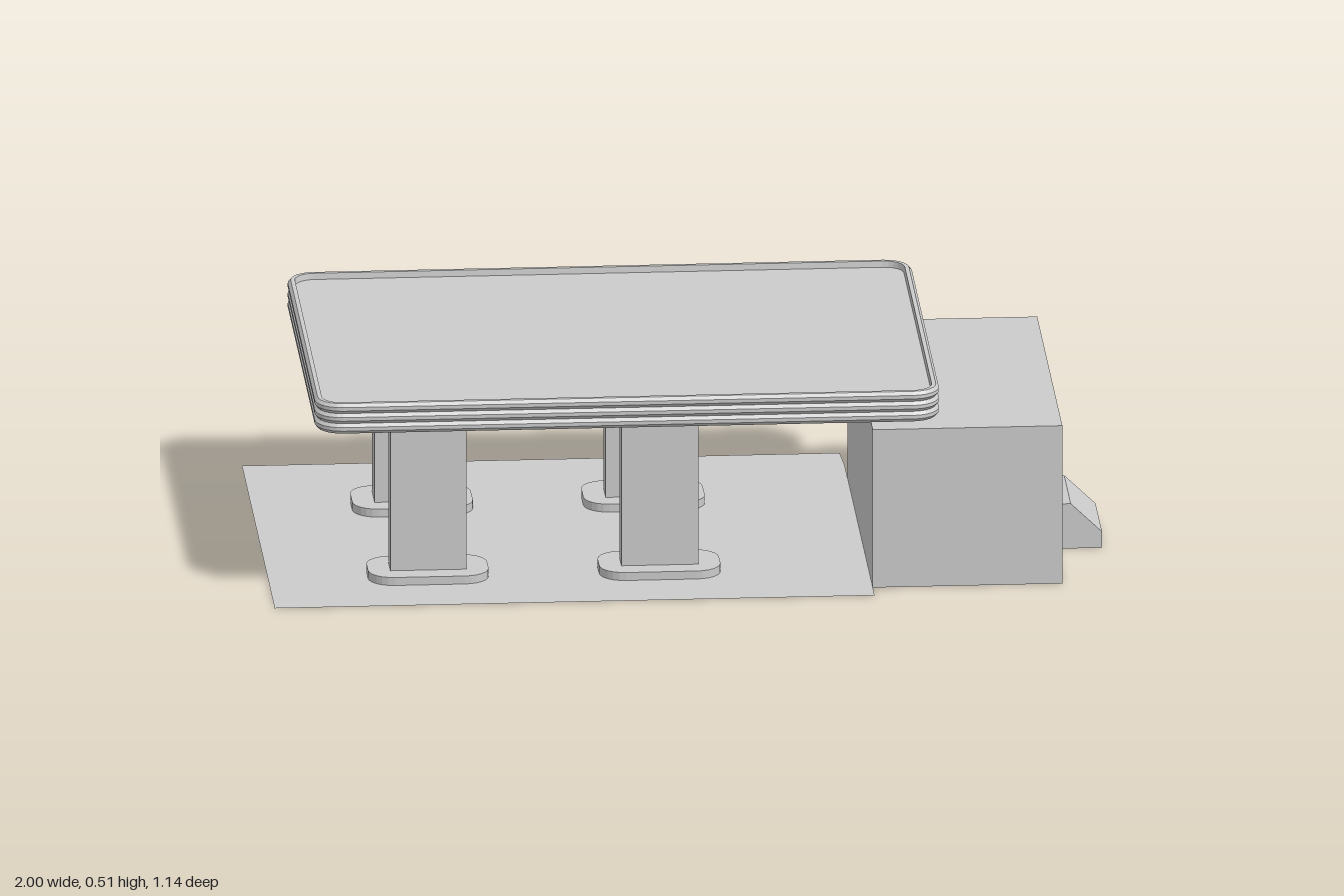
import * as THREE from 'three';

const material = new THREE.MeshStandardMaterial({ color: 0xcccccc, flatShading: true, side: THREE.DoubleSide });

// Outline of a (rounded) rectangle in plan, as [x, z] points
function outline([x0, x1, z0, z1], radius = 0, inset = 0) {
  const segments = radius ? 6 : 0;
  const r = Math.max(radius - inset, 0);
  const corners = [[x1, z1], [x0, z1], [x0, z0], [x1, z0]];
  const points = [];
  corners.forEach(([x, z], i) => {
    const sx = i === 0 || i === 3 ? 1 : -1;
    const sz = i < 2 ? 1 : -1;
    for (let k = 0; k <= segments; k++) {
      const a = (i + (segments ? k / segments : 0)) * Math.PI / 2;
      points.push([
        x - sx * (inset + r) + r * Math.cos(a),
        z - sz * (inset + r) + r * Math.sin(a)
      ]);
    }
  });
  return points;
}

// Wall around a plan outline; the profile is a list of [inset, y]
function wall(rect, radius, profile) {
  const rings = profile.map(([inset, y]) => outline(rect, radius, inset).map(([x, z]) => [x, y, z]));
  return strips(rings, true);
}

// Quads between consecutive rings of points
function strips(rings, closed) {
  const pos = [];
  for (let j = 0; j + 1 < rings.length; j++) {
    const lo = rings[j], hi = rings[j + 1], n = lo.length;
    for (let i = 0; i < (closed ? n : n - 1); i++) {
      const k = (i + 1) % n;
      pos.push(...lo[i], ...hi[i], ...lo[k], ...lo[k], ...hi[i], ...hi[k]);
    }
  }
  const g = new THREE.BufferGeometry();
  g.setAttribute('position', new THREE.Float32BufferAttribute(pos, 3));
  g.computeVertexNormals();
  return g;
}

// Flat horizontal sheet at height y, with optional holes
function sheet(points, y, holes = []) {
  const toVectors = list => list.map(([x, z]) => new THREE.Vector2(x, -z));
  const shape = new THREE.Shape(toVectors(points));
  holes.forEach(h => shape.holes.push(new THREE.Path(toVectors(h))));
  return new THREE.ShapeGeometry(shape).rotateX(-Math.PI / 2).translate(0, y, 0);
}

function part(name, ...geometries) {
  const group = new THREE.Group();
  group.name = name;
  geometries.forEach(g => {
    const mesh = new THREE.Mesh(g, material);
    mesh.name = name;
    group.add(mesh);
  });
  return group;
}

export function createModel() {
  const model = new THREE.Group();
  model.name = 'canopyStation';

  // Four pillars, each on a hollow rounded foot
  const footRects = [];
  const footRadius = 0.06, footHeight = 0.02, canopyBottom = 0.44;
  for (const [x0, x1] of [[-0.709, -0.527], [-0.157, 0.027]]) {
    for (const [z0, z1] of [[-0.286, -0.206], [0.264, 0.328]]) {
      const pillar = [x0, x1, z0, z1];
      const foot = [x0 - 0.053, x1 + 0.053, z0 - 0.053, z1 + 0.053];
      footRects.push(foot);
      model.add(part('pillar', wall(pillar, 0, [[0, footHeight], [0, canopyBottom]])));
      model.add(part('pillarFoot',
        wall(foot, footRadius, [[0, 0], [0, footHeight]]),
        sheet(outline(foot, footRadius), footHeight, [outline(pillar)])));
    }
  }

  // Thin ground sheet, cut out under the feet
  const ground = [[0.433, 0.538], [-1, 0.538], [-1, -0.575], [0.428, -0.575], [0.433, -0.48]];
  model.add(part('ground', sheet(ground, 0, footRects.map(f => outline(f, footRadius)))));

  // Canopy: three stacked ridges, a raised rim and a recessed deck
  const canopy = [-0.902, 0.589, -0.477, 0.565];
  const radius = 0.065, ridge = 0.025;
  const profile = [];
  for (let i = 0; i < 3; i++) {
    const y = canopyBottom + i * ridge;
    profile.push([0.007, y], [0, y + 0.008], [0, y + 0.017], [0.007, y + ridge]);
  }
  profile.push([0.017, 0.515], [0.019, 0.5]);
  model.add(part('canopy',
    wall(canopy, radius, profile),
    sheet(outline(canopy, radius, 0.019), 0.5),
    sheet(outline(canopy, radius, 0.007), canopyBottom)));

  // Shop building, open underneath
  const shop = [0.433, 0.886, -0.375, 0.477];
  model.add(part('building',
    wall(shop, 0, [[0, 0], [0, 0.395]]),
    sheet(outline(shop), 0.395)));

  // Sloped annex on the outer wall, open underneath
  const z0 = -0.016, z1 = 0.206;
  const side = [[0.886, 0.112], [0.925, 0.112], [1, 0.04], [1, 0]];
  const cheek = z => new THREE.ShapeGeometry(new THREE.Shape(
    [[0.886, 0], ...side].map(([x, y]) => new THREE.Vector2(x, y)))).translate(0, 0, z);
  model.add(part('annex',
    strips([z0, z1].map(z => side.map(([x, y]) => [x, y, z])), false),
    cheek(z0), cheek(z1)));

  return model;
}
